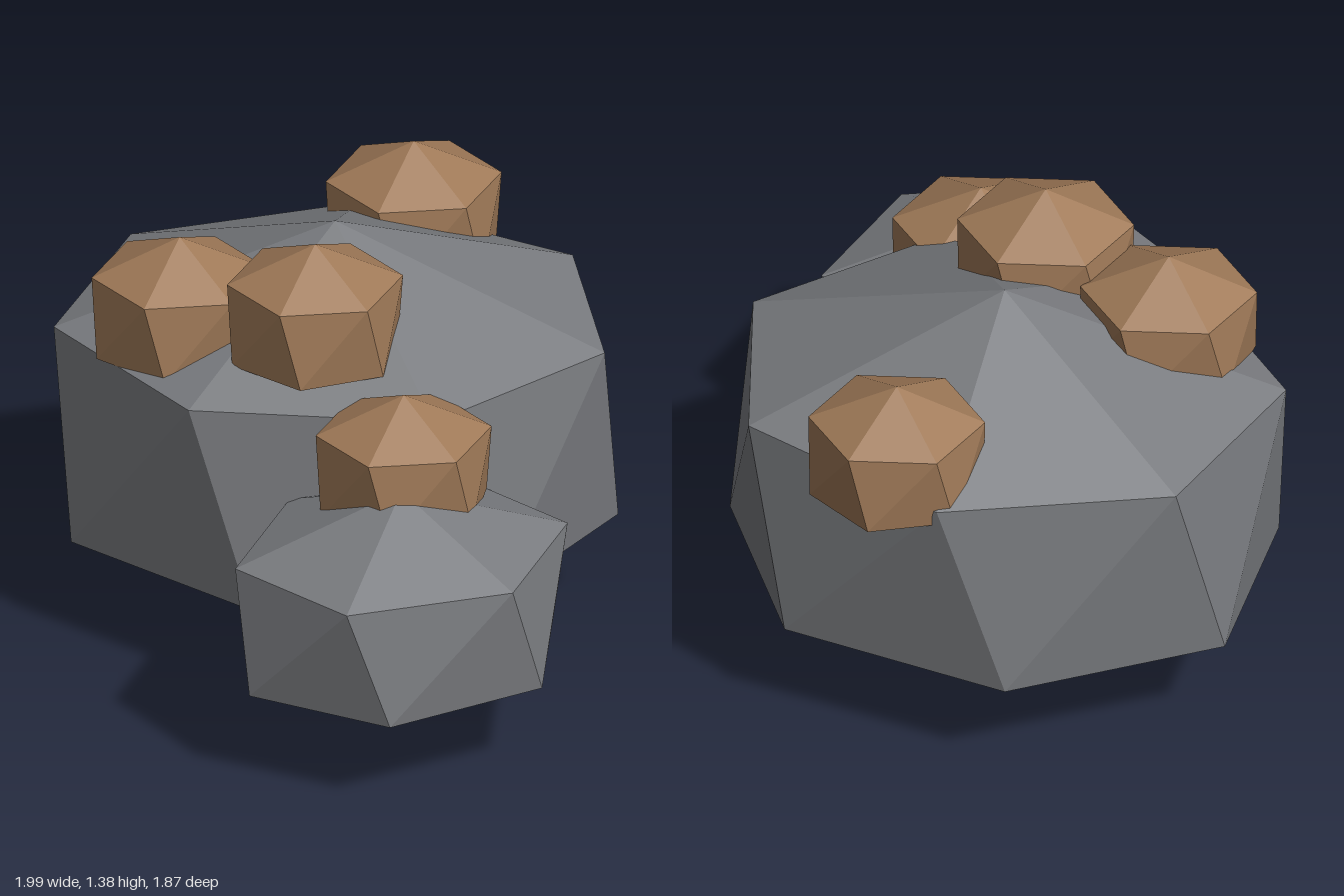
import * as THREE from 'three';

const rad = THREE.MathUtils.degToRad;

// Faceted stone: two poles and two n-sided rings, the lower ring twisted.
// a and b are the ring's half-axes, axis is the heading of a, start the first corner.
function stoneGeometry({ n, a, b, half, axis, start, twist }) {
  const c = Math.cos(rad(axis)), s = Math.sin(rad(axis));
  const corner = (k, y, offset) => {
    const t = rad(start + offset - (k * 360) / n);
    const u = a * Math.cos(t), v = b * Math.sin(t);
    return [u * c - v * s, y, u * s + v * c];
  };
  const top = [0, half, 0], bottom = [0, -half, 0];
  const points = [];
  for (let k = 0; k < n; k++) {
    const u0 = corner(k, half / 2, 0), u1 = corner(k + 1, half / 2, 0);
    const l0 = corner(k, -half / 2, twist), l1 = corner(k + 1, -half / 2, twist);
    points.push(top, u0, u1, u0, l0, u1, u1, l0, l1, bottom, l1, l0);
  }
  const geometry = new THREE.BufferGeometry();
  geometry.setAttribute('position', new THREE.Float32BufferAttribute(points.flat(), 3));
  geometry.computeVertexNormals();
  return geometry;
}

export function createModel() {
  const group = new THREE.Group();
  const grey = new THREE.MeshStandardMaterial({ name: 'stone grey', color: 0x7a7c80, flatShading: true });
  const brown = new THREE.MeshStandardMaterial({ name: 'earth brown', color: 0xa07a58, flatShading: true });

  const addStone = (name, material, position, shape) => {
    const mesh = new THREE.Mesh(stoneGeometry(shape), material);
    mesh.name = name;
    mesh.position.set(...position);
    group.add(mesh);
  };

  // Two grey boulders
  addStone('largeBoulder', grey, [-0.2, 0.635, -0.14],
    { n: 7, a: 0.84, b: 0.715, half: 0.63, axis: 145, start: 40.3, twist: -14 });
  addStone('smallBoulder', grey, [0.54, 0.485, 0.455],
    { n: 6, a: 0.515, b: 0.435, half: 0.37, axis: 115, start: 71, twist: -15 });

  // Brown lumps resting on the boulders
  const lumps = [
    ['middleLump', [-0.015, 1.14, 0.18]],
    ['rightLump', [-0.437, 1.07, 0.297]],
    ['leftLump', [0.43, 0.838, 0.31]],
    ['backLump', [-0.35, 1.015, -0.69]],
  ];
  for (const [name, position] of lumps) {
    addStone(name, brown, position,
      { n: 6, a: 0.262, b: 0.25, half: 0.24, axis: 134, start: 0, twist: -14 });
  }
  return group;
}
